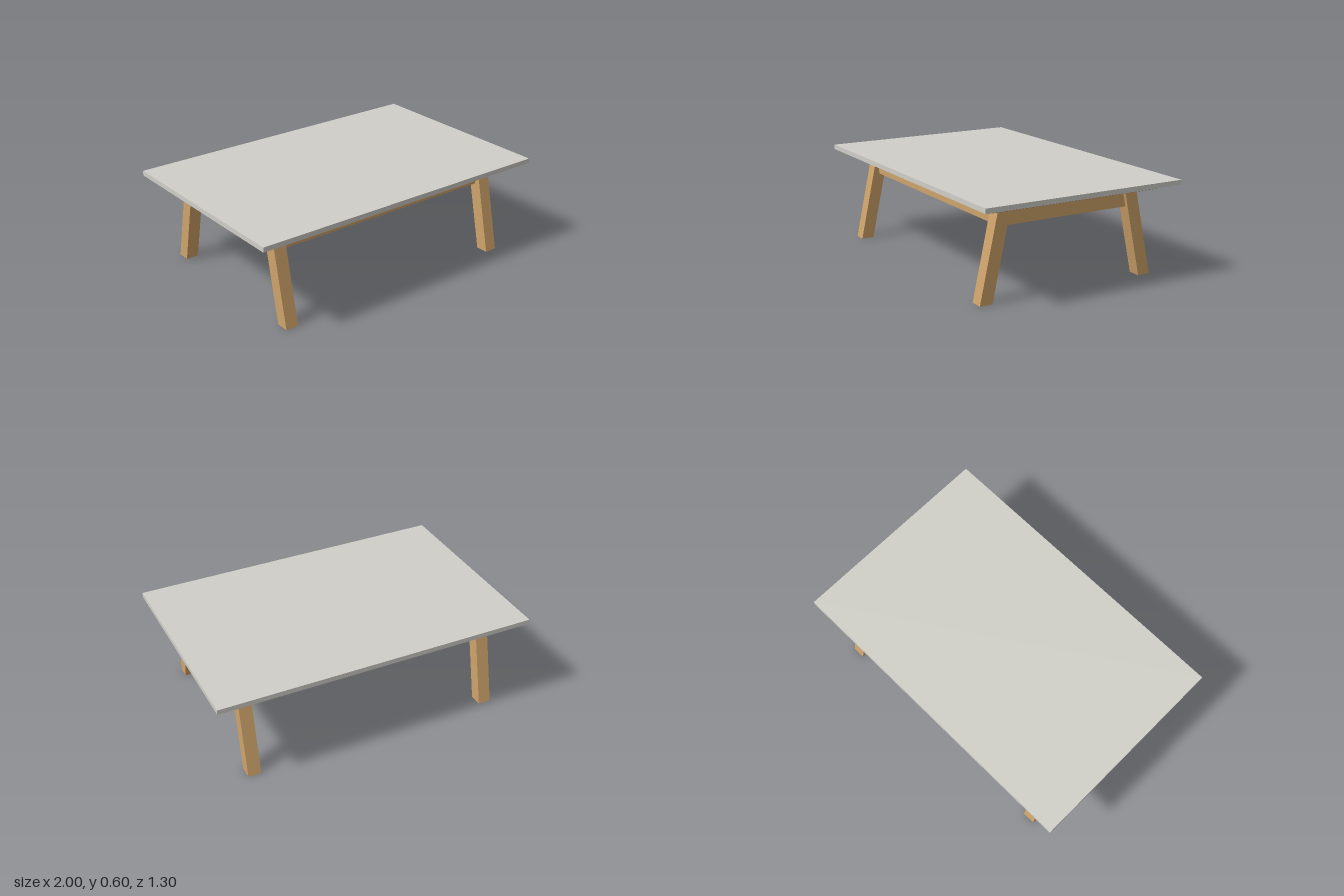
import * as THREE from 'three';

const wood = new THREE.MeshStandardMaterial({ color: 0xcfa36a });
const darkWood = new THREE.MeshStandardMaterial({ color: 0x9c7350 });
const slab = new THREE.MeshStandardMaterial({ color: 0xd0cfc8 });

// Heights of the horizontal layers
const TOP = 0.6, SLAB_BOTTOM = 0.57, LEG_TOP = 0.54, APRON_BOTTOM = 0.43;

function addBox(parent, name, material, [w, d], y0, y1, x = 0, z = 0) {
  const mesh = new THREE.Mesh(new THREE.BoxGeometry(w, y1 - y0, d), material);
  mesh.position.set(x, (y0 + y1) / 2, z);
  mesh.name = name;
  parent.add(mesh);
  return mesh;
}

// Square leg sheared outwards in z, with level ends
function addLeg(parent, name, sx, sz) {
  const leg = addBox(parent, name, wood, [0.08, 0.08], 0, LEG_TOP, sx * 0.78, sz * 0.484);
  const pos = leg.geometry.attributes.position;
  for (let i = 0; i < pos.count; i++) {
    pos.setZ(i, pos.getZ(i) - sz * pos.getY(i) * (0.118 / LEG_TOP));
  }
  leg.geometry.computeVertexNormals();
}

// Rail between the front and back legs, its ends cut to the leg slope
function addSideApron(parent, name, sx) {
  const apron = addBox(parent, name, wood, [0.035, 0.79], APRON_BOTTOM, LEG_TOP, sx * 0.78);
  const pos = apron.geometry.attributes.position;
  for (let i = 0; i < pos.count; i++) {
    const half = pos.getY(i) > 0 ? 0.39 : 0.414;
    pos.setZ(i, Math.sign(pos.getZ(i)) * half);
  }
  apron.geometry.computeVertexNormals();
}

export function createModel() {
  const table = new THREE.Group();
  table.name = 'table';

  // Table top and the smaller board under it
  addBox(table, 'tableTop', slab, [2, 1.3], SLAB_BOTTOM, TOP);
  addBox(table, 'supportBoard', darkWood, [1.81, 1.12], LEG_TOP, SLAB_BOTTOM);

  // Legs
  for (const [sx, side] of [[1, 'Left'], [-1, 'Right']]) {
    addLeg(table, `front${side}Leg`, sx, 1);
    addLeg(table, `back${side}Leg`, sx, -1);
    addSideApron(table, `apron${side}`, sx);
  }

  // Long rails
  addBox(table, 'apronFront', wood, [1.49, 0.035], APRON_BOTTOM, LEG_TOP, 0, 0.43);
  addBox(table, 'apronBack', wood, [1.49, 0.035], APRON_BOTTOM, LEG_TOP, 0, -0.43);

  return table;
}
